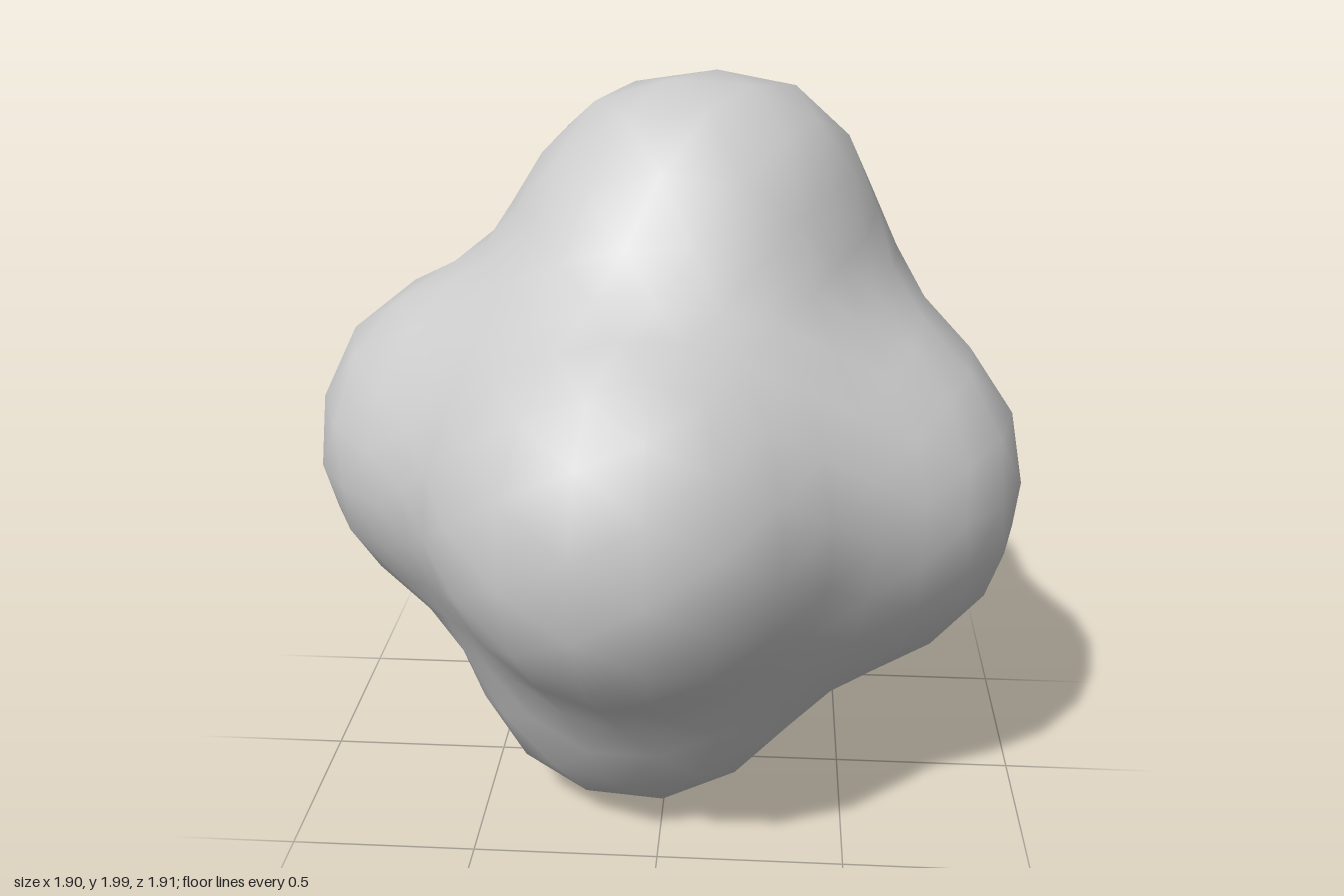
import * as THREE from 'three';
import { mergeVertices } from 'three/addons/utils/BufferGeometryUtils.js';

const dir = (x, y, z) => new THREE.Vector3(x, y, z).normalize();

// Six rounded knobs on a slightly tilted set of axes: direction, height
const knobs = [
  [dir(0.08, 1, -0.08), 0.265], [dir(-0.12, -1, 0.12), 0.262],
  [dir(0.95, -0.1, 0.11), 0.215], [dir(-0.95, 0.05, -0.01), 0.22],
  [dir(-0.12, 0.07, 0.96), 0.23], [dir(0.08, -0.16, -0.95), 0.215],
];

// Softer swellings and hollows between the knobs: direction, height, width
const swellings = [
  [dir(0.42, -0.58, -0.7), 0.13, 0.38],
  [dir(0.15, -0.78, -0.6), 0.065, 0.32],
  [dir(0.7, -0.1, -0.7), 0.06, 0.35],
  [dir(0.43, 0.82, -0.38), 0.09, 0.36],
  [dir(0.76, 0.58, -0.3), 0.045, 0.3],
  [dir(0.7, -0.7, 0.1), 0.05, 0.35],
  [dir(0.6, -0.55, 0.55), 0.025, 0.35],
  [dir(0, -0.7, 0.7), 0.035, 0.35],
  [dir(-0.38, -0.65, 0.65), 0.04, 0.35],
  [dir(-0.7, -0.7, 0.1), 0.035, 0.35],
  [dir(-0.7, 0, 0.7), 0.04, 0.35],
  [dir(-0.5, 0.55, 0.6), 0.02, 0.4],
  [dir(0.65, 0.12, 0.65), 0.05, 0.35],
  [dir(0.62, 0.73, 0.3), -0.03, 0.28],
  [dir(-0.4, 0.62, -0.68), -0.04, 0.4],
];

function radius(d) {
  let r = 0.735;
  for (const [a, h] of knobs) r += h * Math.exp(-Math.pow(d.angleTo(a) / 0.56, 3));
  for (const [a, h, w] of swellings) r += h * Math.exp(-Math.pow(d.angleTo(a) / w, 2));
  return r;
}

export function createModel() {
  const group = new THREE.Group();
  group.name = 'lumpyRock';

  // Welded icosphere so the shading is smooth
  let geo = new THREE.IcosahedronGeometry(1, 5);
  geo.deleteAttribute('uv');
  geo.deleteAttribute('normal');
  geo = mergeVertices(geo, 1e-4);

  // Push every vertex out along its direction
  const pos = geo.attributes.position;
  const d = new THREE.Vector3();
  for (let i = 0; i < pos.count; i++) {
    d.fromBufferAttribute(pos, i).normalize();
    d.multiplyScalar(radius(d));
    pos.setXYZ(i, d.x, d.y, d.z);
  }

  // Rest on the ground, centred
  geo.computeBoundingBox();
  const { min, max } = geo.boundingBox;
  geo.translate(-(min.x + max.x) / 2, -min.y, -(min.z + max.z) / 2);
  geo.computeVertexNormals();

  const rock = new THREE.Mesh(geo, new THREE.MeshStandardMaterial({ color: 0xcccccc }));
  rock.name = 'rockBody';
  group.add(rock);
  return group;
}
